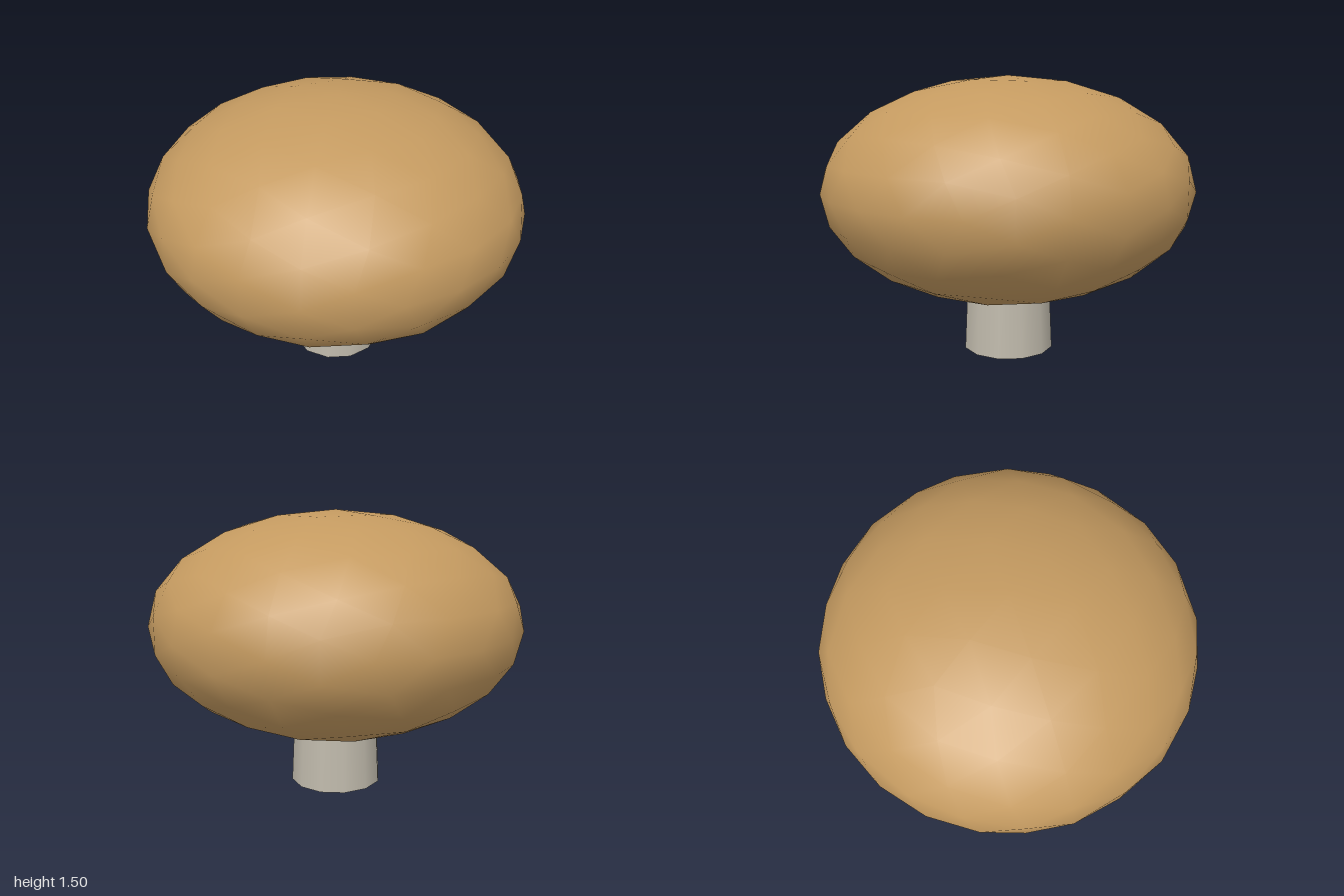
import * as THREE from 'three';
import { mergeVertices } from 'three/addons/utils/BufferGeometryUtils.js';

// Splits every triangle of a unit sphere in four, pushing new corners to the surface
function subdivideSphere(geometry) {
  const p = geometry.getAttribute('position');
  const points = [];
  const corner = (i) => new THREE.Vector3().fromBufferAttribute(p, i);
  const middle = (a, b) => a.clone().add(b).normalize();
  for (let i = 0; i < p.count; i += 3) {
    const a = corner(i), b = corner(i + 1), c = corner(i + 2);
    const ab = middle(a, b), bc = middle(b, c), ca = middle(c, a);
    points.push(a, ab, ca, ab, b, bc, ca, bc, c, ab, bc, ca);
  }
  return new THREE.BufferGeometry().setFromPoints(points);
}

function addPart(group, name, geometry, color) {
  const mesh = new THREE.Mesh(geometry, new THREE.MeshStandardMaterial({ color }));
  mesh.name = name;
  group.add(mesh);
  return mesh;
}

export function createModel() {
  const model = new THREE.Group();
  model.name = 'mushroom';

  // Cap: a flattened, smooth-shaded icosphere
  const cap = mergeVertices(subdivideSphere(new THREE.IcosahedronGeometry(1, 1)), 1e-4);
  cap.scale(1, 0.6, 1);
  cap.computeVertexNormals();
  addPart(model, 'cap', cap, 0xc49a60).position.y = 0.9;

  // Stem: tapered, twelve sides, running up into the cap
  const stem = new THREE.CylinderGeometry(0.208, 0.25, 0.9, 12);
  addPart(model, 'stem', stem, 0xbfb9ab).position.y = 0.45;

  // Smile: the lower half of a small ring, showing under the front of the cap
  const smile = new THREE.TorusGeometry(0.05, 0.018, 8, 12, Math.PI);
  smile.rotateZ(Math.PI);
  smile.rotateX(0.3);
  addPart(model, 'smile', smile, 0x444a55).position.set(0, 0.405, 0.44);

  return model;
}
